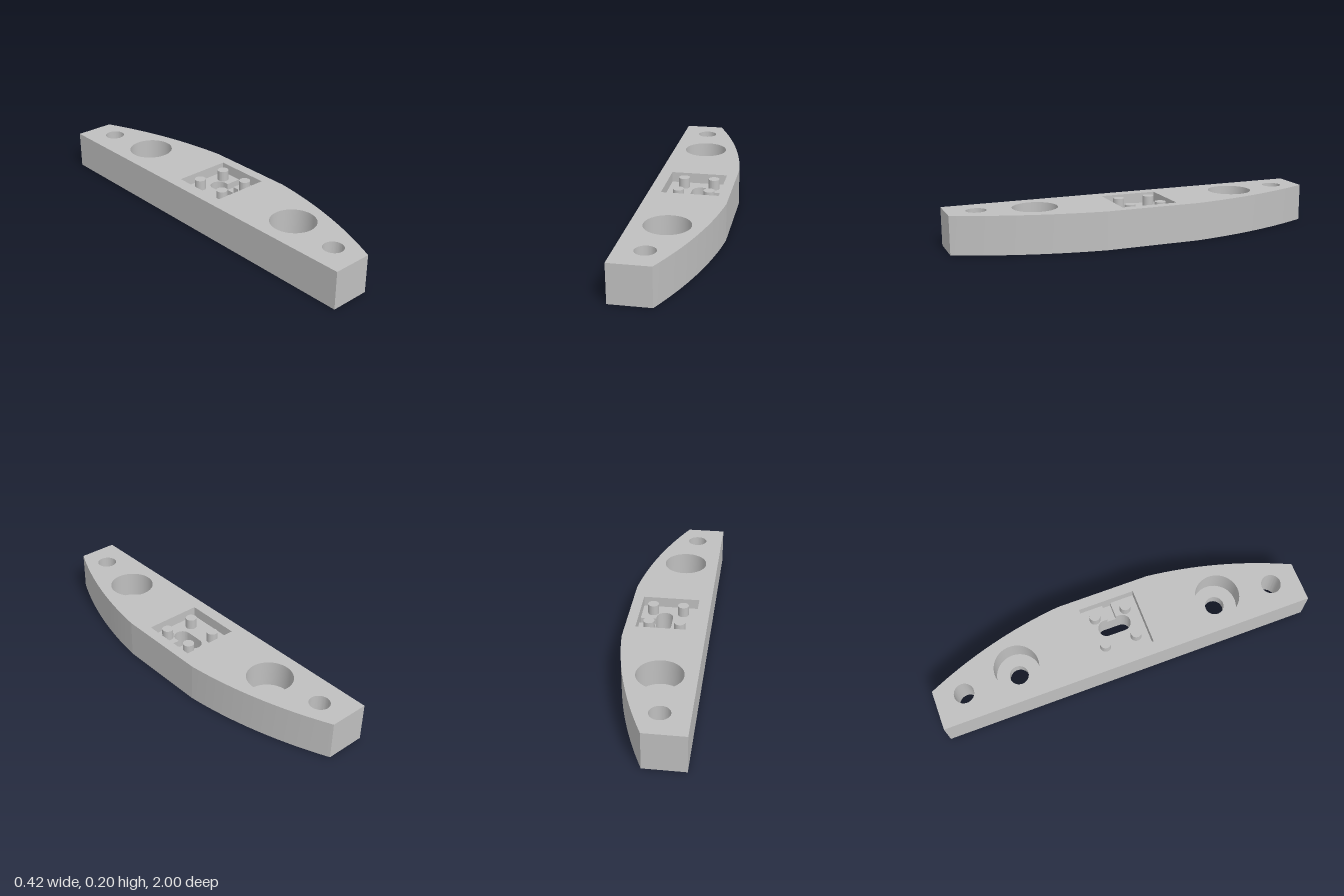
import * as THREE from 'three';
import { toCreasedNormals } from 'three/addons/utils/BufferGeometryUtils.js';

// Heights of the levels
const TOP = 0.2, BORE_FLOOR = 0.06, POCKET_FLOOR = 0.145, GROOVE_FLOOR = 0.11;

// All outlines are anticlockwise lists of [x, -z] points
function arc(cx, cy, r, from, to, n) {
  const pts = [];
  for (let i = 0; i <= n; i++) {
    const a = from + (to - from) * i / n;
    pts.push([cx + r * Math.cos(a), cy + r * Math.sin(a)]);
  }
  return pts;
}
const circle = (cx, cy, r) => arc(cx, cy, r, 0, Math.PI * 2, 48).slice(0, -1);
const rect = (x0, x1, y0, y1) => [[x0, y0], [x1, y0], [x1, y1], [x0, y1]];

export function createModel() {
  const group = new THREE.Group();
  const grey = new THREE.MeshStandardMaterial({ color: 0xbfbfbf });
  grey.name = 'light grey';

  const add = (name, geometry) => {
    const mesh = new THREE.Mesh(geometry, grey);
    mesh.name = name;
    group.add(mesh);
  };

  // Flat face at height y, with holes
  const face = (name, outline, holes, y, down = false) => {
    const vec = pts => pts.map(p => new THREE.Vector2(p[0], p[1]));
    const shape = new THREE.Shape(vec(outline));
    holes.forEach(h => shape.holes.push(new THREE.Path(vec(h))));
    const g = new THREE.ShapeGeometry(shape);
    // every outline is symmetric in z, so the face may be turned either way
    g.rotateX(down ? Math.PI / 2 : -Math.PI / 2);
    g.translate(0, y, 0);
    add(name, g);
  };

  // Upright wall along a closed outline, facing out or into a hole
  const wall = (name, outline, y0, y1, inward = false, crease = 0.2) => {
    const pts = inward ? [...outline].reverse() : outline;
    const pos = [];
    pts.forEach((a, i) => {
      const b = pts[(i + 1) % pts.length];
      const a0 = [a[0], y0, -a[1]], b0 = [b[0], y0, -b[1]];
      const a1 = [a[0], y1, -a[1]], b1 = [b[0], y1, -b[1]];
      pos.push(...a0, ...b0, ...b1, ...a0, ...b1, ...a1);
    });
    const g = new THREE.BufferGeometry();
    g.setAttribute('position', new THREE.Float32BufferAttribute(pos, 3));
    add(name, toCreasedNormals(g, crease));
  };

  // Body outline: straight back, bowed edge with a flat middle
  const R = 2.35, CX = -2.127;
  const endAngle = Math.asin(1 / R), flatAngle = Math.asin(0.25 / R);
  const body = [
    [-0.21, 1], [-0.21, -1],
    ...arc(CX, 0, R, -endAngle, -flatAngle, 16),
    ...arc(CX, 0, R, flatAngle, endAngle, 16),
  ];

  // Hole outlines
  const ends = [-1, 1];
  const screwHoles = ends.map(s => circle(-0.066, s * 0.85, 0.052));
  const counterbores = ends.map(s => circle(-0.027, s * 0.557, 0.117));
  const boltHoles = ends.map(s => circle(-0.027, s * 0.557, 0.05));
  const pocket = rect(-0.145, 0.155, -0.151, 0.151);
  const slotEnds = [
    ...arc(0.028, 0.044, 0.044, 0, Math.PI, 24),
    ...arc(0.028, -0.044, 0.044, Math.PI, Math.PI * 2, 24),
  ];
  const grooveMouth = [[0.072, -0.023], [0.155, -0.023], [0.155, 0.023], [0.072, 0.023]];
  const slotWithGroove = [...slotEnds, ...grooveMouth];
  const pins = [-0.066, 0.095].flatMap(x => ends.map(s => circle(x, s * 0.085, 0.029)));

  // Body shell
  wall('bodySides', body, 0, TOP, false, 0.08);
  face('bodyTop', body, [...screwHoles, ...counterbores, pocket], TOP);
  face('bodyBottom', body, [...screwHoles, ...boltHoles, slotEnds], 0, true);

  // Screw holes and counterbored bolt holes
  for (let i = 0; i < 2; i++) {
    wall('screwHole', screwHoles[i], 0, TOP, true);
    wall('counterbore', counterbores[i], BORE_FLOOR, TOP, true);
    face('counterboreFloor', counterbores[i], [boltHoles[i]], BORE_FLOOR);
    wall('boltHole', boltHoles[i], 0, BORE_FLOOR, true);
  }

  // Square pocket; its floor is notched by the slot and side groove
  const notchedFloor = [
    [0.155, 0.023], [0.155, 0.151], [-0.145, 0.151],
    [-0.145, -0.151], [0.155, -0.151], [0.155, -0.023],
    [0.072, -0.023], ...[...slotEnds].reverse(), [0.072, 0.023],
  ];
  wall('pocketSides', pocket, POCKET_FLOOR, TOP, true);
  face('pocketFloor', notchedFloor, pins, POCKET_FLOOR);
  wall('slotUpper', slotWithGroove, GROOVE_FLOOR, POCKET_FLOOR, true);
  wall('slotLower', slotEnds, 0, GROOVE_FLOOR, true);
  face('grooveFloor', grooveMouth, [], GROOVE_FLOOR);

  // Four pins standing in the pocket
  pins.forEach(p => {
    wall('pinSide', p, POCKET_FLOOR, TOP);
    face('pinTop', p, [], TOP);
  });

  return group;
}
